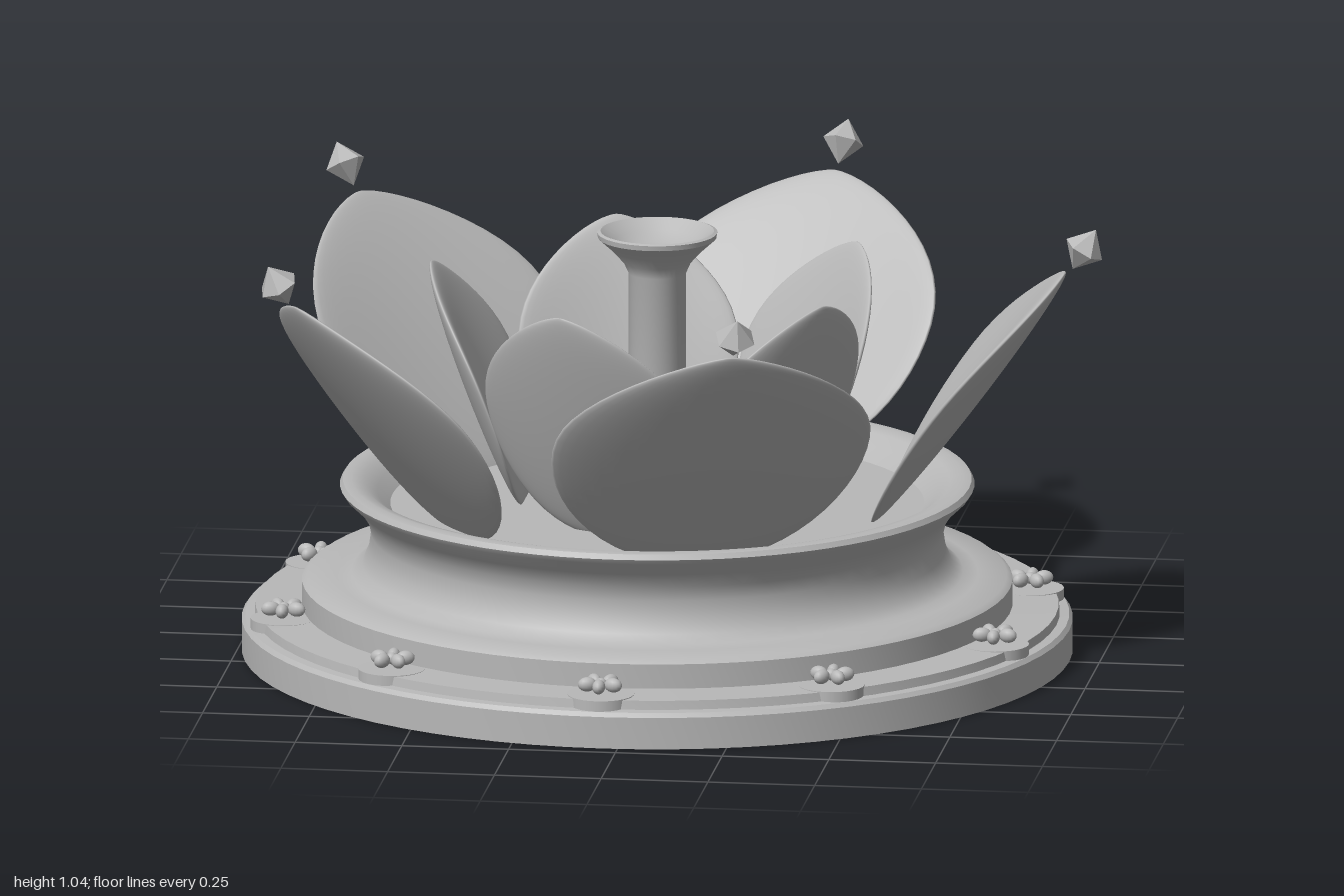
import * as THREE from 'three';
import { mergeVertices, toCreasedNormals } from 'three/addons/utils/BufferGeometryUtils.js';

const stone = new THREE.MeshStandardMaterial({ color: 0xb8b8b8 });
stone.name = 'grey stone';

function add(parent, name, geometry, x = 0, y = 0, z = 0) {
  const mesh = new THREE.Mesh(geometry, stone);
  mesh.name = name;
  mesh.position.set(x, y, z);
  parent.add(mesh);
  return mesh;
}

// Turned part with crisp edges between its steps
function turned(points, sides) {
  const profile = points.map(([r, y]) => new THREE.Vector2(r, y));
  return toCreasedNormals(new THREE.LatheGeometry(profile, sides), 0.6);
}

// Cupped, pointed petal leaning from (r0, y0) out to (r1, y1), facing +z
function petalGeometry(r0, y0, r1, y1, halfWidth, thick, cup) {
  let g = new THREE.SphereGeometry(1, 40, 28);
  g.deleteAttribute('uv');
  g.deleteAttribute('normal');
  g = mergeVertices(g, 1e-4);
  const len = Math.hypot(r1 - r0, y1 - y0);
  const outR = (y1 - y0) / len, outY = -(r1 - r0) / len;
  const p = g.attributes.position;
  for (let i = 0; i < p.count; i++) {
    const s = p.getY(i);
    const round = Math.sqrt(Math.max(1 - s * s, 1e-6));
    const pinch = s > 0 ? Math.pow(Math.max(Math.cos(s * Math.PI / 2), 0), 0.65) / round : 1;
    const x = p.getX(i) * pinch;
    const n = p.getZ(i) * thick - cup * x * x;
    const t = (s + 1) / 2;
    p.setXYZ(i, x * halfWidth, y0 + (y1 - y0) * t + outY * n, r0 + (r1 - r0) * t + outR * n);
  }
  g.computeVertexNormals();
  return g;
}

export function createModel() {
  const model = new THREE.Group();
  model.name = 'lotusFountain';
  const body = new THREE.Group();
  body.name = 'fountainBody';
  body.position.x = -0.035;
  model.add(body);

  // Stepped base, waisted neck and shallow bowl
  add(body, 'baseAndBowl', turned([
    [0, 0], [0.965, 0], [0.965, 0.075], [0.957, 0.085], [0.935, 0.087], [0.932, 0.108],
    [0.825, 0.11], [0.825, 0.168], [0.812, 0.178], [0.745, 0.182], [0.71, 0.187],
    [0.685, 0.205], [0.67, 0.24], [0.664, 0.28], [0.672, 0.315], [0.695, 0.35],
    [0.73, 0.383], [0.737, 0.395], [0.73, 0.407], [0.71, 0.41], [0.68, 0.402],
    [0.65, 0.38], [0.62, 0.35], [0, 0.35],
  ], 72));

  // Central spout with a flared cup
  add(body, 'spout', turned([
    [0.067, 0.34], [0.067, 0.9], [0.078, 0.925], [0.105, 0.955], [0.138, 0.985],
    [0.14, 0.997], [0.132, 1.0], [0.1, 0.975], [0.07, 0.955], [0, 0.955],
  ], 36));

  // Two rings of petals, with a crystal above each outer tip
  const outer = petalGeometry(0.51, 0.33, 0.955, 0.93, 0.375, 0.025, 0.05);
  const inner = petalGeometry(0.31, 0.34, 0.53, 0.91, 0.26, 0.022, 0.05);
  const crystal = new THREE.CylinderGeometry(0, 0.048, 0.055, 6, 1, true).translate(0, 0.0275, 0);
  const crystalLow = new THREE.CylinderGeometry(0.048, 0, 0.055, 6, 1, true).translate(0, -0.0275, 0);
  const facet = (g) => {
    const flat = g.toNonIndexed();
    flat.computeVertexNormals();
    return flat;
  };
  const upper = facet(crystal), lower = facet(crystalLow);
  for (let i = 0; i < 5; i++) {
    const turn = Math.PI / 2 - i * Math.PI * 2 / 5;
    const spoke = new THREE.Group();
    spoke.name = 'outerPetalGroup';
    spoke.rotation.y = turn;
    body.add(spoke);
    add(spoke, 'outerPetal', outer);
    const gem = new THREE.Group();
    gem.name = 'crystal';
    gem.position.set(0, 0.988, 1.0);
    gem.rotation.x = 0.52;
    spoke.add(gem);
    add(gem, 'crystalTop', upper);
    add(gem, 'crystalBottom', lower);
    add(body, 'innerPetal', inner).rotation.y = turn - Math.PI / 5;
  }

  // Ten small flowers on round pads along the base ledge
  const pad = new THREE.CylinderGeometry(0.078, 0.078, 0.03, 28);
  const bud = new THREE.SphereGeometry(1, 14, 10);
  for (let i = 0; i < 10; i++) {
    const a = (19 + i * 36) * Math.PI / 180;
    const flower = new THREE.Group();
    flower.name = 'flower';
    flower.position.set(Math.cos(a) * 0.878, 0, Math.sin(a) * 0.878);
    flower.rotation.y = -a;
    body.add(flower);
    add(flower, 'flowerPad', pad, 0, 0.095, 0);
    add(flower, 'flowerCentre', bud, 0, 0.133, 0).scale.set(0.014, 0.014, 0.014);
    for (let k = 0; k < 5; k++) {
      const b = k * Math.PI * 2 / 5;
      const leaf = add(flower, 'flowerPetal', bud, Math.cos(b) * 0.032, 0.133, Math.sin(b) * 0.032);
      leaf.rotation.y = -b;
      leaf.scale.set(0.022, 0.017, 0.015);
    }
  }
  return model;
}
